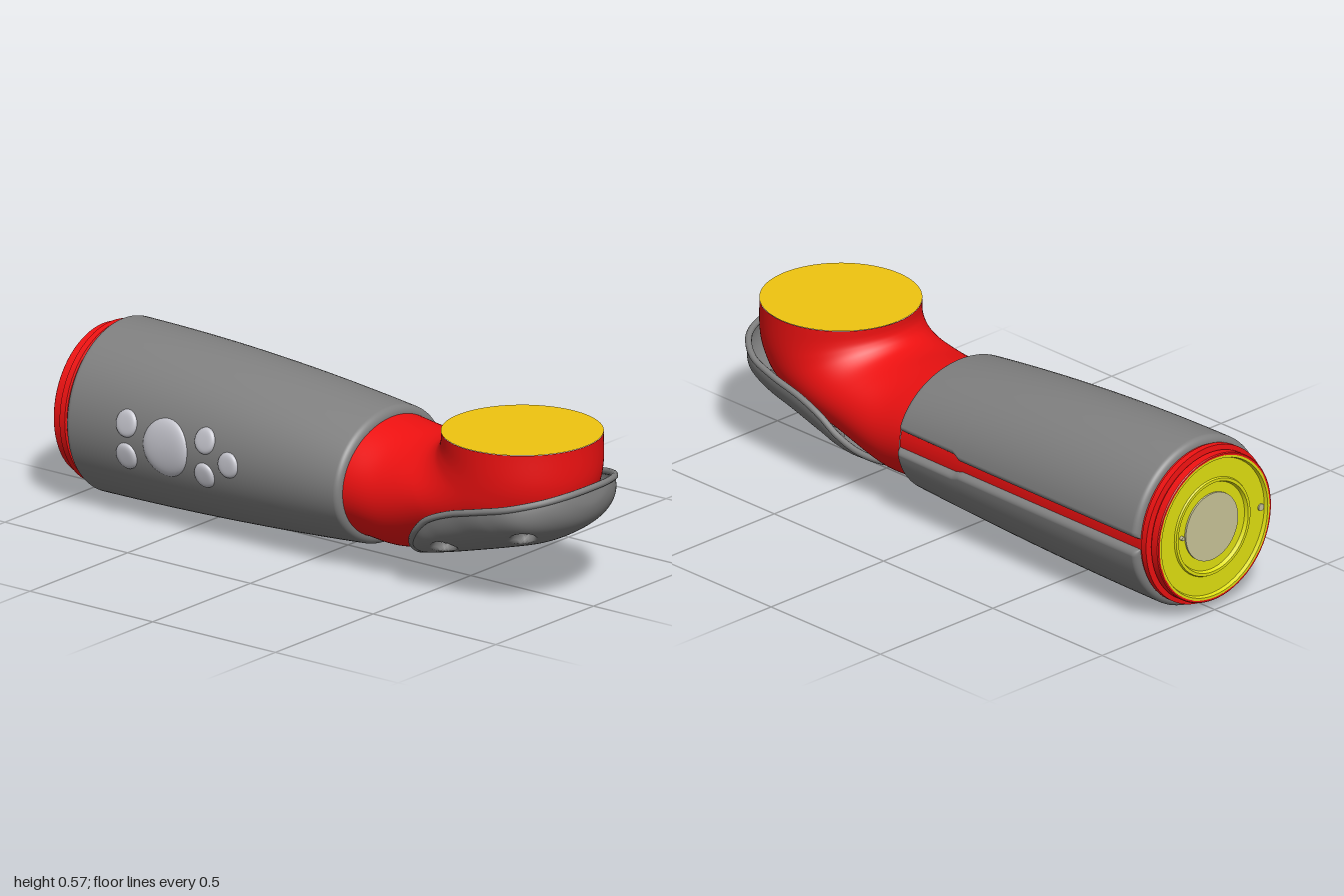
import * as THREE from 'three';
import { mergeVertices, toCreasedNormals } from 'three/addons/utils/BufferGeometryUtils.js';
import { ParametricGeometry } from 'three/addons/geometries/ParametricGeometry.js';

const mat = (color, side = THREE.FrontSide) => new THREE.MeshStandardMaterial({ color, side });
const red = mat(0xee1111), grey = mat(0x808080), greyOpen = mat(0x808080, THREE.DoubleSide);
const lidYellow = mat(0xf0c410), endYellow = mat(0xe0e010), beige = mat(0xc8c498), silver = mat(0xc4c4cc);

const SHELL_BACK = -0.93, SHELL_FRONT = 0.18, THICK = 0.025, LID_Y = 0.535, END_Y = 0.2925;

export function createModel() {
  const model = new THREE.Group();
  const add = (name, geometry, material) => {
    const mesh = new THREE.Mesh(geometry, material);
    mesh.name = name;
    model.add(mesh);
    return mesh;
  };

  // Smooth welded surface from a rule (u, v) -> point
  const surface = (rule, nu, nv) => {
    const g = new ParametricGeometry((u, v, p) => rule(u, v, p), nu, nv);
    g.deleteAttribute('uv');
    g.deleteAttribute('normal');
    const welded = mergeVertices(g, 1e-5);
    welded.computeVertexNormals();
    return welded;
  };
  const curve = pts => new THREE.CatmullRomCurve3(pts.map(p => new THREE.Vector3(...p)), false, 'catmullrom');

  // Forearm cross-section: an ellipse that tapers towards the front
  const section = z => {
    const s = (SHELL_FRONT - z) / (SHELL_FRONT - SHELL_BACK);
    const e = 1 - (1 - s) ** 2;
    const top = 0.498 + 0.082 * e, bottom = 0.055 - 0.05 * e;
    return { cy: (top + bottom) / 2, ry: (top - bottom) / 2, rx: 0.277 + 0.008 * e };
  };
  const onForearm = (p, angle, z, h) => {
    const { cy, ry, rx } = section(z);
    const inset = THICK - h;
    return p.set((rx - inset) * Math.cos(angle), cy + (ry - inset) * Math.sin(angle), z);
  };
  const angleAt = (y, z) => {
    const { cy, ry } = section(z);
    return Math.asin((y - cy) / ry);
  };

  // Forearm core
  add('forearmCore', surface((u, v, p) =>
    onForearm(p, u * Math.PI * 2, THREE.MathUtils.lerp(SHELL_BACK, SHELL_FRONT, v), 0), 72, 30), red);

  // Rounded border: position along the length and height from 0 to 1
  const border = (u, length, r) => {
    const k = 0.1, near = Math.min(u, 1 - u);
    if (near >= k) return { t: r + (length - 2 * r) * (u - k) / (1 - 2 * k), h: 1 };
    const a = near / k * Math.PI / 2, d = r * (1 - Math.cos(a));
    return { t: u < 0.5 ? d : length - d, h: Math.sin(a) };
  };

  // Wrap-around cover with a stepped slot along its left side
  add('forearmCover', surface((u, v, p) => {
    const along = border(v, SHELL_FRONT - SHELL_BACK, 0.022);
    const z = SHELL_BACK + along.t;
    const wide = THREE.MathUtils.smoothstep(z, -0.11, -0.08);
    const start = angleAt(0.315 + 0.015 * wide, z);
    const end = Math.PI * 2 + angleAt(0.275 - 0.01 * wide, z);
    const across = border(u, end - start, 0.08);
    return onForearm(p, start + across.t, z, THICK * across.h * along.h);
  }, 100, 90), grey);

  // Buttons on the right side: y, z, radius
  [[0.345, -0.68, 0.042], [0.236, -0.68, 0.042], [0.295, -0.52, 0.09],
    [0.35, -0.364, 0.04], [0.235, -0.364, 0.04], [0.29, -0.265, 0.04]].forEach(([y, z, r], i) => {
    const g = surface((u, v, p) => {
      const a = u * Math.PI * 2, rr = Math.sin(v * Math.PI / 2);
      const bz = z + r * rr * Math.cos(a), by = y + r * 1.08 * rr * Math.sin(a);
      return onForearm(p, Math.PI - angleAt(by, bz), bz, THICK - 0.003 + 0.014 * Math.sqrt(1 - rr ** 6));
    }, 32, 12);
    add(i === 2 ? 'mainButton' : 'smallButton', g, new THREE.MeshStandardMaterial({ color: silver.color, side: THREE.DoubleSide }));
  });

  // Screw pockets pressed into both sides of the elbow
  const pockets = [[0.185, 0.248, 0.86], [0.205, 0.16, 0.553]];
  const press = (p, radius) => {
    for (const [x, y, z] of pockets) {
      const d = Math.hypot(Math.abs(p.x) - x, p.y - y, p.z - z) / radius;
      const depth = 0.036 * (1 - THREE.MathUtils.smoothstep(d, 0.6, 1));
      p.x -= Math.sign(p.x) * depth * 0.8;
      p.y += depth * 0.55;
      p.z -= depth * 0.2;
    }
    return p;
  };

  // Elbow: ellipses swung between an inner and an outer bend line
  const inner = curve([[0, 0.473, 0.18], [0, 0.457, 0.28], [0, 0.45, 0.35], [0, 0.455, 0.4],
    [0, 0.47, 0.43], [0, 0.49, 0.445], [0, 0.51, 0.45], [0, LID_Y, 0.45]]);
  const outer = curve([[0, 0.08, 0.18], [0, 0.078, 0.33], [0, 0.145, 0.55], [0, 0.2, 0.75],
    [0, 0.26, 0.88], [0, 0.33, 0.94], [0, 0.41, 0.968], [0, LID_Y, 0.97]]);
  add('elbow', surface((u, v, p) => {
    const a = u * Math.PI * 2, i = inner.getPoint(v), o = outer.getPoint(v);
    p.lerpVectors(i, o, 0.5 + 0.5 * Math.cos(a));
    p.x = (0.254 + 0.006 * Math.min(1, v * 3)) * Math.sin(a);
    return press(p, 0.065);
  }, 96, 80), red);

  // Flat lid on the upright opening
  const lid = new THREE.CircleGeometry(0.26, 72);
  lid.rotateX(-Math.PI / 2);
  add('upperLid', lid, lidYellow).position.set(0, LID_Y + 0.001, 0.71);

  // Elbow guard: a hull between its rim line and its keel line
  const rimPoints = [[0, 0.4, 0.99], [0.1, 0.397, 0.98], [0.185, 0.385, 0.94], [0.255, 0.362, 0.85],
    [0.275, 0.337, 0.74], [0.273, 0.305, 0.62], [0.268, 0.265, 0.53], [0.25, 0.21, 0.47],
    [0.2, 0.15, 0.42], [0.1, 0.095, 0.385], [0, 0.08, 0.376]];
  const rim = curve(rimPoints);
  const keel = curve([[0, 0.4, 0.99], [0, 0.34, 0.995], [0, 0.285, 0.975], [0, 0.243, 0.93],
    [0, 0.2, 0.85], [0, 0.165, 0.74], [0, 0.135, 0.63], [0, 0.11, 0.53],
    [0, 0.092, 0.45], [0, 0.08, 0.395], [0, 0.08, 0.376]]);
  add('elbowGuard', surface((u, v, p) => {
    const a = (u - 0.5) * Math.PI, e = rim.getPoint(v), k = keel.getPoint(v);
    const w = e.x;
    p.lerpVectors(e, k, Math.max(0, Math.cos(a)) ** 0.85);
    p.x = -w * Math.sin(a);
    return press(p, 0.046);
  }, 110, 110), greyOpen);

  // Rounded lip around the guard
  const mirrored = rimPoints.slice(1, -1).reverse().map(([x, y, z]) => [-x, y, z]);
  const loop = new THREE.CatmullRomCurve3([...rimPoints, ...mirrored].map(p => new THREE.Vector3(...p)), true);
  add('guardLip', new THREE.TubeGeometry(loop, 140, 0.011, 10, true), grey);

  // Turned parts at the back; profile rows are radius and distance towards the back
  const turned = (name, profile, material) => {
    const g = new THREE.LatheGeometry(profile.map(p => new THREE.Vector2(...p)), 72);
    g.rotateX(-Math.PI / 2);
    add(name, toCreasedNormals(g, 0.5), material).position.y = END_Y;
  };
  turned('endCollar', [[0.261, 0.92], [0.261, 0.938], [0.268, 0.941], [0.268, 0.962], [0.247, 0.964],
    [0.247, 0.969], [0.253, 0.971], [0.253, 0.997], [0.25, 1], [0.244, 1]], red);
  turned('endPlate', [[0.245, 1], [0.236, 1], [0.232, 0.988], [0.168, 0.988], [0.165, 0.994],
    [0.155, 0.994], [0.15, 0.982], [0.113, 0.982]], endYellow);
  turned('endDisc', [[0.116, 0.98], [0.116, 0.988], [0, 0.988]], beige);

  // Locating pins on the end plate
  [[-0.215, 0.012], [0.131, 0.007]].forEach(([x, r]) => {
    const pin = new THREE.CylinderGeometry(r, r, 0.012, 20);
    pin.rotateX(Math.PI / 2);
    add('locatingPin', pin, beige).position.set(x, END_Y, -0.987);
  });

  return model;
}
